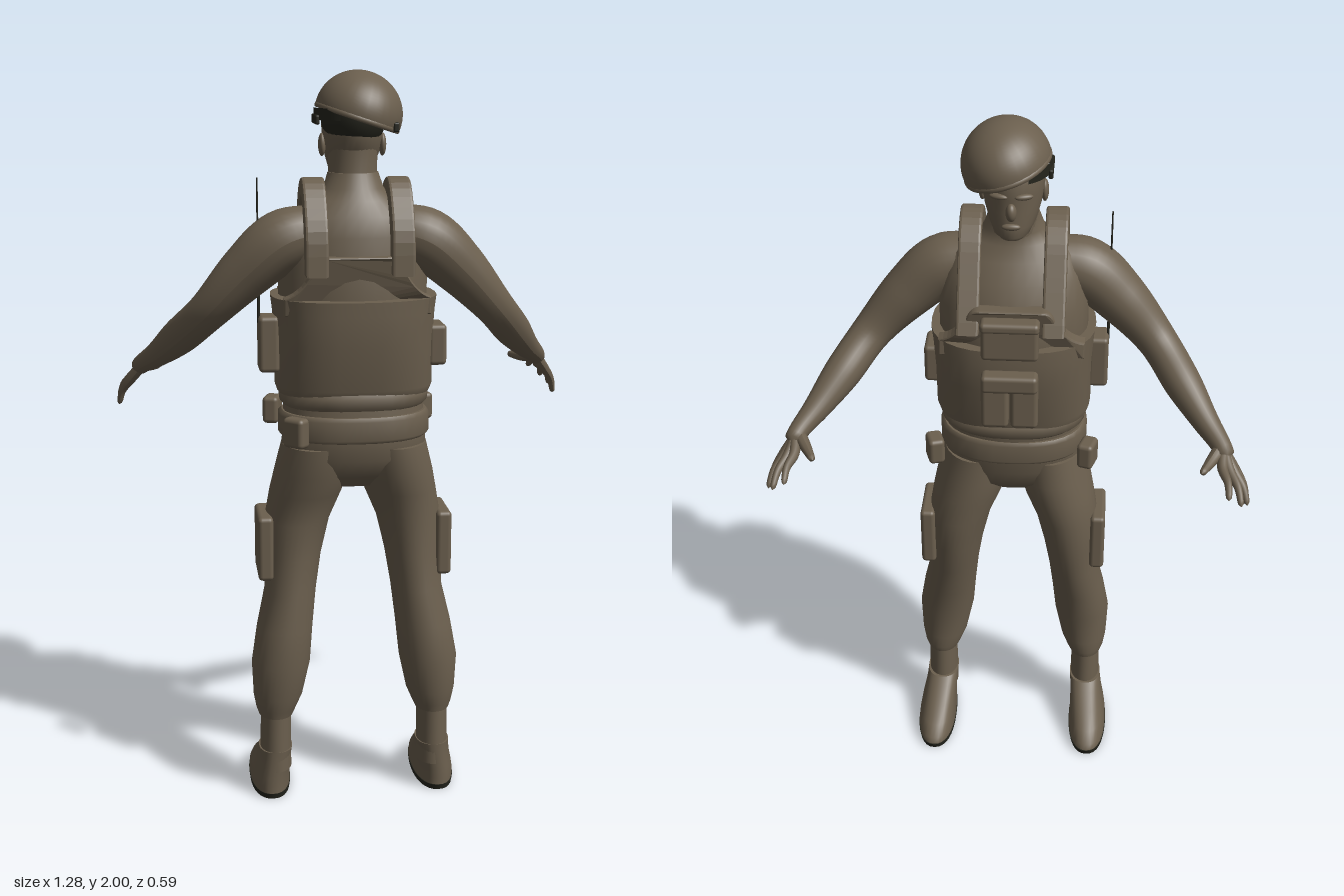
import * as THREE from 'three';
import { RoundedBoxGeometry } from 'three/addons/geometries/RoundedBoxGeometry.js';

const olive = new THREE.MeshStandardMaterial({ color: 0x6b5f4e });
olive.name = 'olive brown';
const dark = new THREE.MeshStandardMaterial({ color: 0x25251d });
dark.name = 'dark olive';

export function createModel() {
  const model = new THREE.Group();
  model.name = 'soldier';

  function add(name, geometry, material = olive, x = 0, y = 0, z = 0, ry = 0) {
    const mesh = new THREE.Mesh(geometry, material);
    mesh.name = name;
    mesh.position.set(x, y, z);
    mesh.rotation.y = ry;
    model.add(mesh);
    return mesh;
  }

  // Skin over rising cross-sections [y, centreX, radiusX, zMin, zMax]; power > 1 squares the corners
  function loft(sections, power = 1, n = 32) {
    const first = sections[0], last = sections[sections.length - 1];
    const flat = (s) => [s[0], s[1], 0, (s[3] + s[4]) / 2, (s[3] + s[4]) / 2];
    const rings = [flat(first), first, ...sections, last, flat(last)];
    const pos = [], index = [];
    const bend = (v) => Math.sign(v) * Math.abs(v) ** (1 / power);
    for (const [y, cx, rx, z0, z1] of rings) {
      for (let j = 0; j <= n; j++) {
        const a = (j / n) * Math.PI * 2;
        pos.push(cx + rx * bend(Math.cos(a)), y, (z0 + z1) / 2 + ((z1 - z0) / 2) * bend(Math.sin(a)));
      }
    }
    for (let i = 0; i < rings.length - 1; i++) {
      if (i === 1 || i === rings.length - 3) continue;
      for (let j = 0; j < n; j++) {
        const a = i * (n + 1) + j, c = a + n + 1;
        index.push(a, c, a + 1, a + 1, c, c + 1);
      }
    }
    const g = new THREE.BufferGeometry();
    g.setAttribute('position', new THREE.Float32BufferAttribute(pos, 3));
    g.setIndex(index);
    g.computeVertexNormals();
    return g;
  }

  // Round limb through points [x, y, z, radius], closed by a rounded tip
  function limb(points, steps = 32, sides = 16, tip = 0.1) {
    const curve = new THREE.CatmullRomCurve3(points.map((p) => new THREE.Vector3(p[0], p[1], p[2])));
    const radii = new THREE.SplineCurve(points.map((p, i) => new THREE.Vector2(i, p[3])));
    const g = new THREE.TubeGeometry(curve, steps, 1, sides);
    const pos = g.attributes.position, v = new THREE.Vector3();
    for (let i = 0; i <= steps; i++) {
      const u = i / steps, centre = curve.getPointAt(u);
      const end = Math.max(0, (u - 1 + tip) / tip);
      const r = radii.getPoint(curve.getUtoTmapping(u)).y * Math.sqrt(Math.max(0, 1 - end * end));
      for (let j = 0; j <= sides; j++) {
        const k = i * (sides + 1) + j;
        v.fromBufferAttribute(pos, k).sub(centre).multiplyScalar(r).add(centre);
        pos.setXYZ(k, v.x, v.y, v.z);
      }
    }
    g.computeVertexNormals();
    return g;
  }

  const ellipsoid = (rx, ry, rz, arc = Math.PI) =>
    new THREE.SphereGeometry(1, 32, 20, 0, Math.PI * 2, 0, arc).scale(rx, ry, rz);
  const box = (w, h, d, r = 0.012) => new RoundedBoxGeometry(w, h, d, 3, r);

  // Torso, vest and belt (the figure faces -z)
  add('torso', loft([
    [1.10, 0, 0.19, -0.04, 0.24], [1.4, 0, 0.2, -0.07, 0.245], [1.5, 0, 0.2, -0.055, 0.235],
    [1.58, 0, 0.19, -0.02, 0.225], [1.63, 0, 0.165, 0.01, 0.21], [1.67, 0, 0.11, 0.03, 0.19],
    [1.70, 0, 0.08, 0.035, 0.175], [1.74, 0, 0.067, 0.03, 0.16]]));
  add('vest', loft([
    [1.16, 0, 0.205, -0.05, 0.24], [1.18, 0, 0.212, -0.055, 0.25], [1.3, 0, 0.212, -0.085, 0.272],
    [1.38, 0, 0.217, -0.088, 0.274], [1.42, 0, 0.222, -0.085, 0.274]], 1.25));
  add('shirtHem', loft([
    [1.12, 0, 0.185, -0.04, 0.235], [1.135, 0, 0.2, -0.055, 0.25], [1.16, 0, 0.203, -0.055, 0.252],
    [1.18, 0, 0.19, -0.04, 0.24]], 1.15));
  add('belt', loft([
    [1.04, 0, 0.195, -0.043, 0.25], [1.05, 0, 0.205, -0.05, 0.26],
    [1.10, 0, 0.205, -0.05, 0.26], [1.11, 0, 0.195, -0.043, 0.25]], 1.15));
  add('hips', loft([
    [0.9, 0, 0.1, 0.04, 0.16], [0.94, 0, 0.17, -0.005, 0.215], [0.99, 0, 0.2, -0.02, 0.245],
    [1.06, 0, 0.193, -0.035, 0.25], [1.14, 0, 0.19, -0.04, 0.24]], 1.1));

  // Tapered upper panels of the vest, front and back
  const panel = new THREE.Shape();
  panel.moveTo(-0.19, 1.38);
  panel.lineTo(0.19, 1.38);
  panel.lineTo(0.19, 1.42);
  panel.quadraticCurveTo(0.14, 1.44, 0.11, 1.51);
  panel.quadraticCurveTo(0.1, 1.53, 0.08, 1.53);
  panel.lineTo(-0.08, 1.53);
  panel.quadraticCurveTo(-0.1, 1.53, -0.11, 1.51);
  panel.quadraticCurveTo(-0.14, 1.44, -0.19, 1.42);
  for (const [name, z, bow] of [['backPanel', 0.225, -1], ['frontPanel', -0.075, 1]]) {
    const g = new THREE.ExtrudeGeometry(panel, {
      depth: 0.03, bevelSize: 0.004, bevelThickness: 0.006, bevelSegments: 2, curveSegments: 8 });
    const p = g.attributes.position;
    for (let i = 0; i < p.count; i++) p.setZ(i, p.getZ(i) + bow * 1.4 * p.getX(i) ** 2);
    g.computeVertexNormals();
    add(name, g, olive, 0, 0, z);
  }

  // Shoulder straps: a padded ribbon over each shoulder
  const outer = [[0.262, 1.49], [0.25, 1.6], [0.19, 1.7], [0.13, 1.725], [0.06, 1.69], [0, 1.6], [-0.075, 1.47]];
  const inner = [[-0.045, 1.47], [0.03, 1.59], [0.08, 1.66], [0.13, 1.685], [0.17, 1.67], [0.215, 1.59], [0.225, 1.49]];
  const spline = (pts) => new THREE.SplineCurve(pts.map((p) => new THREE.Vector2(...p))).getPoints(24);
  const strapShape = new THREE.Shape([...spline(outer), ...spline(inner)]);
  for (const s of [-1, 1]) {
    const g = new THREE.ExtrudeGeometry(strapShape, {
      depth: 0.046, bevelSize: 0.005, bevelThickness: 0.007, bevelSegments: 2 });
    g.translate(0, 0, -0.023).rotateY(-Math.PI / 2);
    add('shoulderStrap', g, olive, s * 0.112);
  }

  // Pouches on the chest, sides, belt and thighs: [name, w, h, d, x, y, z, turn]
  const pouches = [
    ['chestPouch', 0.15, 0.1, 0.045, 0, 1.46, -0.09, 0],
    ['chestPouchFlap', 0.155, 0.03, 0.05, 0, 1.505, -0.09, 0],
    ['magazinePouch', 0.073, 0.15, 0.045, -0.039, 1.285, -0.1, 0],
    ['magazinePouch', 0.073, 0.15, 0.045, 0.039, 1.285, -0.1, 0],
    ['magazineFlap', 0.15, 0.05, 0.05, 0, 1.345, -0.105, 0],
    ['sidePouch', 0.05, 0.11, 0.1, 0.22, 1.285, 0.118, 0],
    ['radio', 0.055, 0.15, 0.08, -0.23, 1.295, 0.125, 0],
    ['beltPouch', 0.04, 0.08, 0.065, -0.17, 1.08, 0.262, 0.8],
    ['beltPouch', 0.045, 0.075, 0.065, 0.21, 1.08, -0.03, 0.3],
    ['beltPouch', 0.045, 0.075, 0.065, -0.21, 1.08, -0.03, -0.3],
    ['thighPouch', 0.042, 0.18, 0.16, 0.245, 0.73, 0.09, 0],
    ['thighPouch', 0.042, 0.18, 0.16, -0.246, 0.73, 0.09, 0],
  ];
  for (const [name, w, h, d, x, y, z, turn] of pouches) add(name, box(w, h, d), olive, x, y, z, turn);
  add('antenna', new THREE.CylinderGeometry(0.002, 0.004, 0.38, 8), dark, -0.255, 1.54, 0.13);

  // Neck, head and face
  add('neck', loft([
    [1.62, 0, 0.085, 0.03, 0.18], [1.68, 0, 0.07, 0.035, 0.168], [1.74, 0, 0.064, 0.02, 0.155],
    [1.82, 0, 0.066, 0.02, 0.16]]));
  add('head', loft([
    [1.715, 0, 0.03, -0.025, 0.04], [1.725, 0, 0.045, -0.033, 0.08], [1.75, 0, 0.06, -0.035, 0.125],
    [1.79, 0, 0.073, -0.033, 0.155], [1.83, 0, 0.079, -0.034, 0.172], [1.87, 0, 0.08, -0.037, 0.178],
    [1.91, 0, 0.074, -0.02, 0.168], [1.94, 0, 0.05, 0.015, 0.13]]));
  add('nose', ellipsoid(0.014, 0.024, 0.018), olive, 0, 1.798, -0.034);
  add('lips', ellipsoid(0.024, 0.009, 0.01), olive, 0, 1.758, -0.033);
  for (const s of [-1, 1]) {
    add('brow', ellipsoid(0.024, 0.008, 0.01), olive, s * 0.032, 1.838, -0.027, s * -0.3);
    add('ear', ellipsoid(0.01, 0.03, 0.02), olive, s * 0.08, 1.81, 0.08);
  }
  add('hair', ellipsoid(0.086, 0.095, 0.1), dark, 0.002, 1.885, 0.088);

  // Helmet tipped to one side, with its rim and dark band
  const helmet = new THREE.Group();
  helmet.name = 'helmet';
  helmet.position.set(0.018, 1.889, 0.07);
  helmet.rotation.z = -0.32;
  const shell = add('helmetShell', ellipsoid(0.116, 0.111, 0.136, Math.PI * 0.54));
  const rim = add('helmetRim', new THREE.TorusGeometry(1, 0.035, 8, 48)
    .rotateX(Math.PI / 2).scale(0.113, 0.2, 0.133), olive, 0, -0.012, 0);
  const inside = add('helmetLining', new THREE.CircleGeometry(1, 40).rotateX(Math.PI / 2)
    .scale(0.112, 1, 0.132), dark, 0, -0.014, 0);
  helmet.add(shell, rim, inside);
  model.add(helmet);
  add('headBand', new THREE.CylinderGeometry(1, 1, 0.03, 20, 1, true, Math.PI * 1.15, Math.PI * 0.7)
    .scale(0.105, 1, 0.12), new THREE.MeshStandardMaterial().copy(dark), 0.005, 1.89, 0.075)
    .material = dark;
  add('earPiece', box(0.012, 0.025, 0.1, 0.005), dark, -0.096, 1.875, 0.075);
  add('earPiece', box(0.016, 0.025, 0.13, 0.005), dark, 0.105, 1.857, 0.1);

  for (const s of [-1, 1]) {
    // Arm, palm and fingers
    const side = (pts) => pts.map(([x, y, z, r]) => [s * x, y, z, r]);
    add('arm', limb(side([
      [0.1, 1.59, 0.12, 0.07], [0.19, 1.565, 0.128, 0.082], [0.28, 1.49, 0.118, 0.073],
      [0.385, 1.378, 0.085, 0.054], [0.46, 1.295, -0.005, 0.05], [0.52, 1.232, -0.085, 0.036],
      [0.562, 1.195, -0.145, 0.027], [0.578, 1.175, -0.18, 0.026]]), 48, 24, 0.03));
    const fingers = [
      [[0.565, 1.165, -0.21], [0.58, 1.128, -0.3]],
      [[0.585, 1.155, -0.205], [0.615, 1.1, -0.287]],
      [[0.598, 1.145, -0.195], [0.634, 1.08, -0.252]],
      [[0.602, 1.14, -0.178], [0.636, 1.062, -0.212]],
    ];
    for (const [a, b] of fingers) {
      const mid = [(a[0] + b[0]) / 2 + 0.005, (a[1] + b[1]) / 2 + 0.006, (a[2] + b[2]) / 2, 0.0105];
      add('finger', limb(side([[0.568, 1.185, -0.155, 0.016], [...a, 0.014], mid, [...b, 0.008]]), 20, 10));
    }
    add('thumb', limb(side([
      [0.56, 1.19, -0.15, 0.018], [0.535, 1.178, -0.195, 0.015], [0.508, 1.175, -0.25, 0.009]]), 16, 10));

    // Leg with gathered trouser cuff, bare ankle and shoe
    const leg = [
      [0.24, 0.222, 0.048, 0.068, 0.19], [0.26, 0.221, 0.056, 0.062, 0.195], [0.3, 0.216, 0.068, 0.06, 0.207],
      [0.4, 0.207, 0.081, 0.055, 0.222], [0.5, 0.194, 0.077, 0.03, 0.217], [0.6, 0.177, 0.071, 0.01, 0.203],
      [0.7, 0.167, 0.077, -0.014, 0.195], [0.8, 0.155, 0.089, -0.022, 0.195], [0.88, 0.131, 0.099, -0.023, 0.208],
      [0.94, 0.115, 0.102, -0.02, 0.235], [1.02, 0.1, 0.097, -0.015, 0.24]];
    const place = (rows) => rows.map(([y, cx, ...rest]) => [y, s * cx, ...rest]);
    add('leg', loft(place(leg)));
    add('ankle', loft(place([[0.08, 0.224, 0.044, 0.066, 0.19], [0.26, 0.222, 0.042, 0.07, 0.188]])));
    add('shoe', loft(place([
      [0.015, 0.236, 0.056, -0.112, 0.19], [0.035, 0.236, 0.056, -0.107, 0.19], [0.06, 0.234, 0.053, -0.075, 0.19],
      [0.09, 0.23, 0.049, -0.025, 0.19], [0.12, 0.226, 0.047, 0.03, 0.19], [0.14, 0.224, 0.047, 0.06, 0.19]]), 1.15));
    add('sole', loft(place([[0, 0.236, 0.056, -0.11, 0.187], [0.016, 0.236, 0.058, -0.115, 0.192]]), 1.15), dark);
  }
  return model;
}
